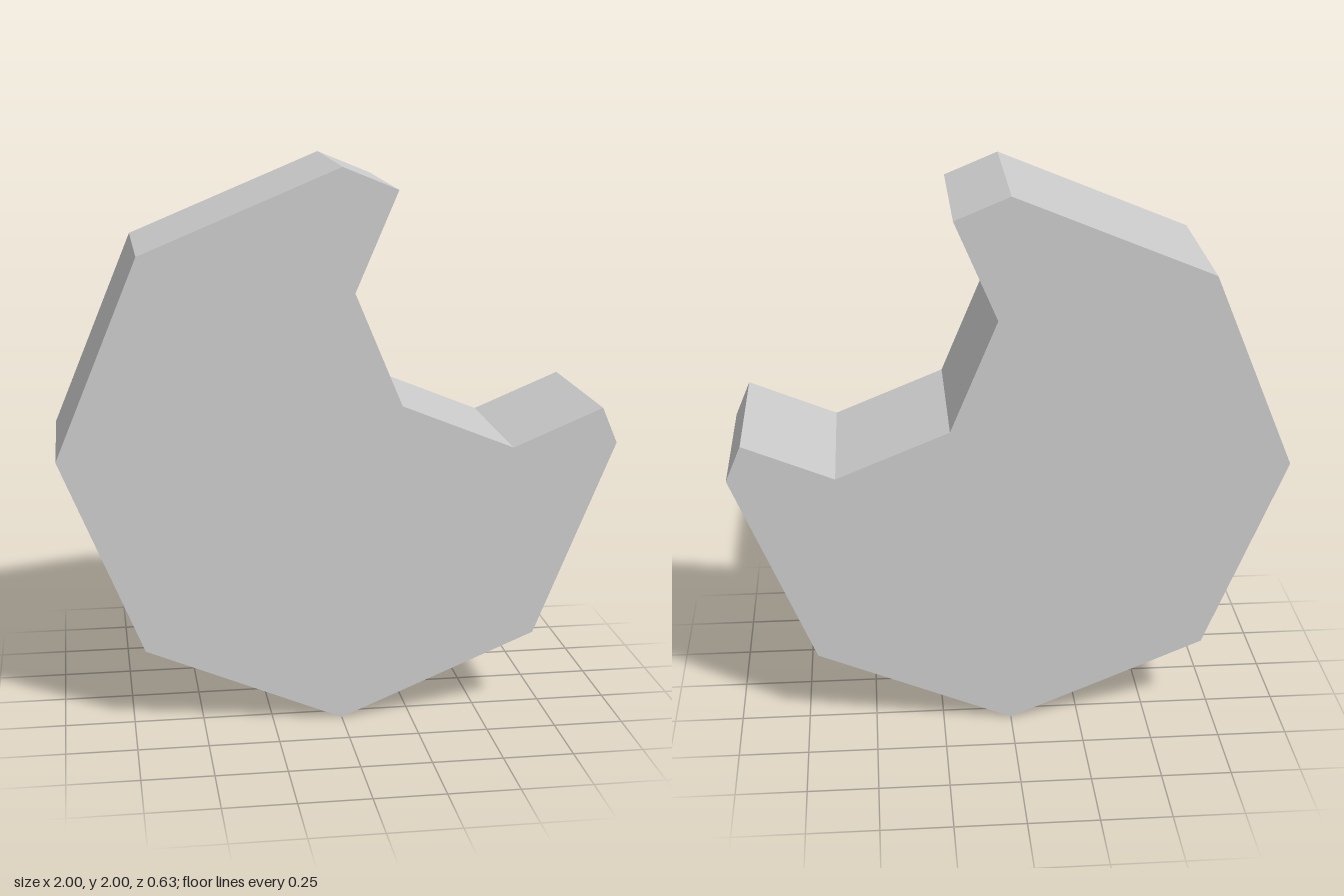
import * as THREE from 'three';

const DEPTH = 0.63;

export function createModel() {
  const group = new THREE.Group();
  group.name = 'bittenDisc';

  // Octagon rim, counter-clockwise from the top round to the right corner
  const outline = [];
  for (let i = 0; i <= 6; i++) {
    const a = Math.PI / 2 + (i * Math.PI) / 4;
    outline.push(new THREE.Vector2(Math.cos(a), 1 + Math.sin(a)));
  }

  // Bite cut from the upper right by a smaller octagon
  const bite = [[0.945, 1.13], [0.62, 0.995], [0.215, 1.16], [0.045, 1.565], [0.196, 1.919]];
  for (const [x, y] of bite) outline.push(new THREE.Vector2(x, y));

  // Flat slab with sharp edges
  const geometry = new THREE.ExtrudeGeometry(new THREE.Shape(outline), {
    depth: DEPTH,
    bevelEnabled: false,
  });
  geometry.translate(0, 0, -DEPTH / 2);

  const disc = new THREE.Mesh(
    geometry,
    new THREE.MeshStandardMaterial({ color: 0xcccccc, flatShading: true })
  );
  disc.name = 'disc';
  group.add(disc);
  return group;
}
